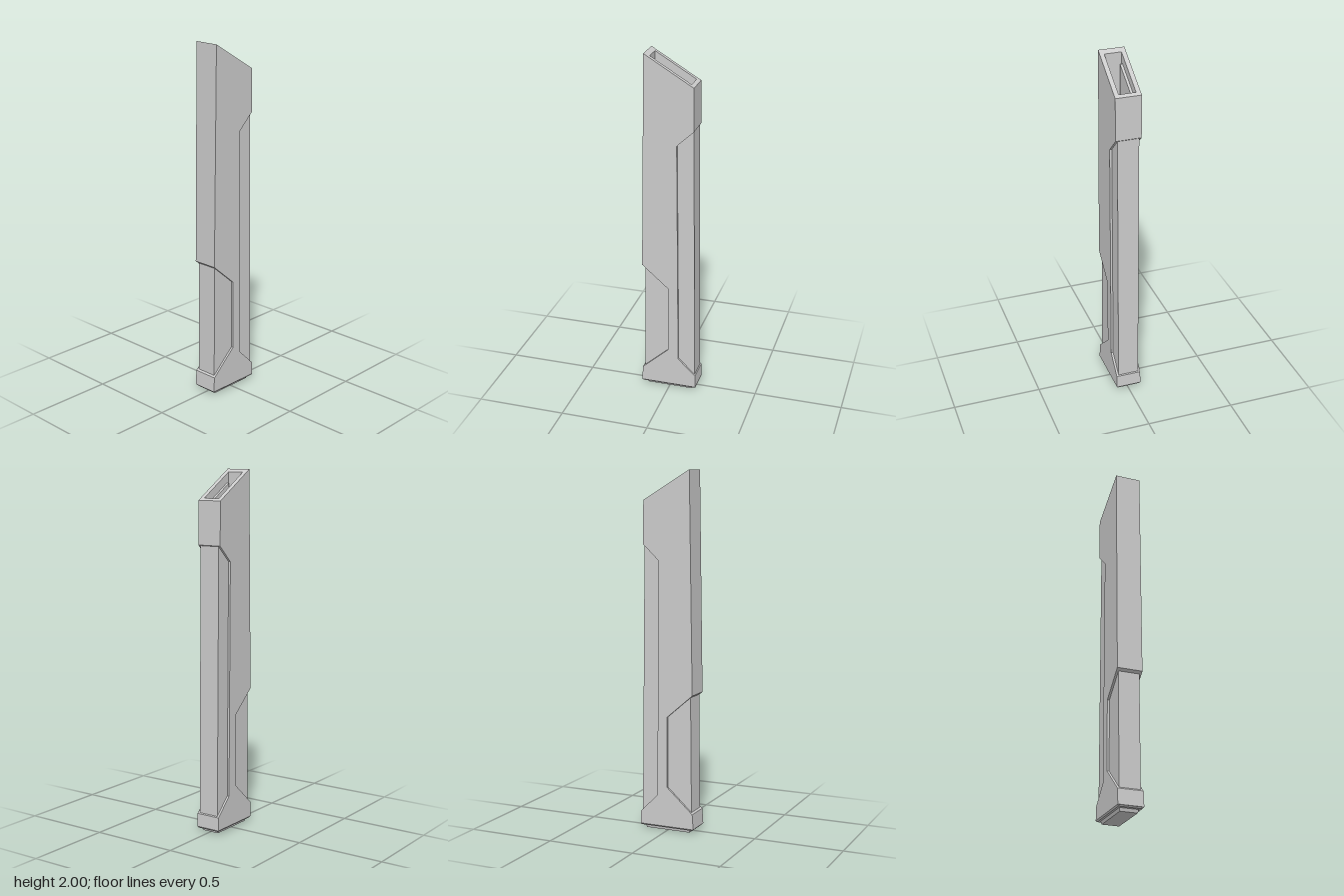
import * as THREE from 'three';

const material = new THREE.MeshStandardMaterial({ color: 0xcccccc, flatShading: true });
const smooth = new THREE.MeshStandardMaterial({ color: 0xcccccc });

// Side profile of [z, y] points, extruded across x between two positions
function slab(name, points, x0, x1) {
  const shape = new THREE.Shape(points.map(([z, y]) => new THREE.Vector2(z, y)));
  const geometry = new THREE.ExtrudeGeometry(shape, { depth: x1 - x0, bevelEnabled: false });
  geometry.rotateY(-Math.PI / 2);
  geometry.translate(x1, 0, 0);
  const mesh = new THREE.Mesh(geometry, material);
  mesh.name = name;
  return mesh;
}

// Rectangular block whose lower end is narrowed
function taperedBlock(name, w, h, d, inset, y) {
  const geometry = new THREE.BoxGeometry(w, h, d);
  const p = geometry.attributes.position;
  for (let i = 0; i < p.count; i++) {
    if (p.getY(i) < 0) {
      p.setX(i, p.getX(i) - Math.sign(p.getX(i)) * inset);
      p.setZ(i, p.getZ(i) - Math.sign(p.getZ(i)) * inset);
    }
  }
  geometry.computeVertexNormals();
  const mesh = new THREE.Mesh(geometry, material);
  mesh.name = name;
  mesh.position.y = y;
  return mesh;
}

export function createModel() {
  const model = new THREE.Group();
  model.name = 'magazine';
  const W = 0.072, OPEN = 0.047, FLOOR = 1.62;
  const topY = z => 1.838 + (z + 0.137) * 0.162 / 0.272;

  // Casing outline with the front and rear cutaways
  const frontEdge = [
    [-0.16, 0.026], [0.163, 0.026], [0.157, 0.112], [0.005, 0.25],
    [0.005, 0.65], [0.155, 0.78], [0.135, 2],
  ];
  const backEdge = [
    [-0.137, 1.838], [-0.14, 1.6], [-0.045, 1.51], [-0.056, 0.2], [-0.157, 0.1],
  ];
  // Open cavity between the two side walls
  const cavity = [[0.108, topY(0.108)], [0.108, FLOOR], [-0.118, FLOOR], [-0.118, topY(-0.118)]];
  const casing = new THREE.Group();
  casing.name = 'casing';
  casing.add(
    slab('rightWall', [...frontEdge, ...backEdge], -W, -OPEN),
    slab('leftWall', [...frontEdge, ...backEdge], OPEN, W),
    slab('middleCasing', [...frontEdge, ...cavity, ...backEdge], -OPEN, OPEN),
  );
  model.add(casing);

  // Narrower inner tube exposed in the cutaways
  model.add(slab('innerTube',
    [[-0.152, 0.07], [0.148, 0.07], [0.131, 1.61], [-0.136, 1.61]], -0.06, 0.06));

  // Guide rails inside the mouth
  for (const s of [-1, 1]) {
    const rail = [[-0.1, FLOOR], [0.092, FLOOR], [0.092, topY(0.092) - 0.05], [-0.1, topY(-0.1) - 0.05]];
    model.add(slab(s < 0 ? 'rightRail' : 'leftRail', rail,
      s < 0 ? -OPEN : 0.033, s < 0 ? -0.033 : OPEN));
  }

  // Base edge and floor plate
  model.add(taperedBlock('baseEdge', 0.144, 0.008, 0.322, 0.006, 0.022));
  model.add(taperedBlock('floorPlate', 0.108, 0.02, 0.272, 0.005, 0.01));

  // Cartridge: grooved case and pointed tip, nose tilted upwards
  const cartridge = new THREE.Group();
  cartridge.name = 'cartridge';
  const R = 0.033;
  const lathe = (name, pts) => {
    const g = new THREE.LatheGeometry(pts.map(([r, y]) => new THREE.Vector2(r, y)), 32);
    const mesh = new THREE.Mesh(g, smooth);
    mesh.name = name;
    cartridge.add(mesh);
  };
  lathe('caseHead', [[0, 0], [R, 0], [R, 0.005], [0.029, 0.007], [0.029, 0.011], [R, 0.014]]);
  lathe('caseBody', [[R, 0.014], [R, 0.12]]);
  const tip = [];
  for (let i = 0; i <= 12; i++) {
    const a = i / 12 * Math.PI / 2;
    tip.push([0.032 * Math.cos(a), 0.12 + 0.093 * Math.sin(a)]);
  }
  lathe('bulletTip', [[R, 0.12], ...tip]);
  cartridge.rotation.x = Math.PI / 2 - 0.3;
  cartridge.position.set(0, 1.69, -0.105);
  model.add(cartridge);

  return model;
}
